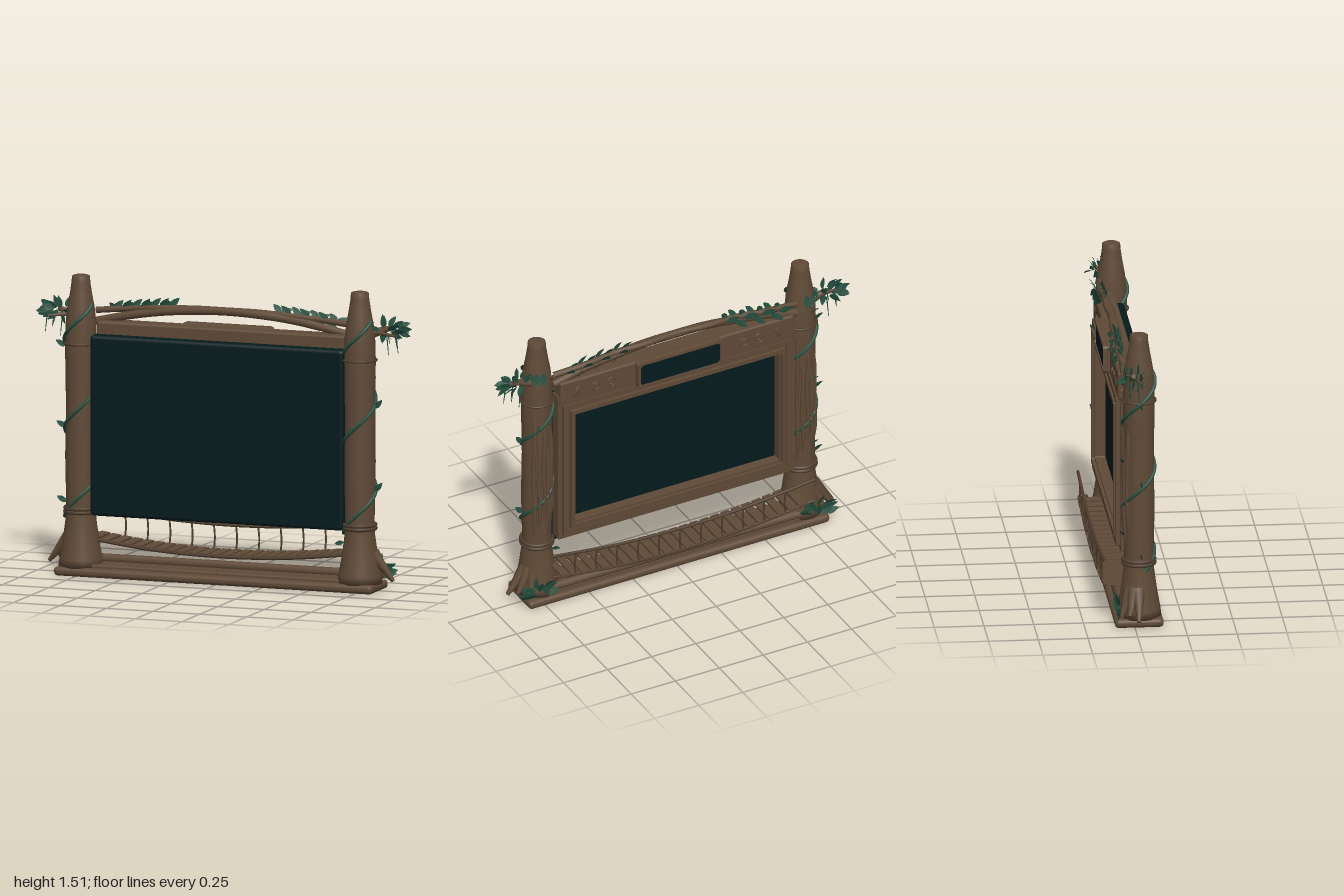
import * as THREE from 'three';
import { RoundedBoxGeometry } from 'three/addons/geometries/RoundedBoxGeometry.js';

const V = (x, y, z) => new THREE.Vector3(x, y, z);
const UP = V(0, 1, 0);
const CX = -0.01; // middle of the gate

export function createModel() {
  const root = new THREE.Group();
  root.name = 'gateScreen';
  const mat = (name, color, side = THREE.FrontSide) => {
    const m = new THREE.MeshStandardMaterial({ color, side });
    m.name = name;
    return m;
  };
  const wood = mat('wood', 0x5f4a37);
  const darkWood = mat('darkWood', 0x503e2f);
  const glass = mat('darkTeal', 0x051b1d);
  const green = mat('leafGreen', 0x24503f, THREE.DoubleSide);

  const add = (name, geo, m, parent = root) => {
    const mesh = new THREE.Mesh(geo, m);
    mesh.name = name;
    parent.add(mesh);
    return mesh;
  };
  const group = (name) => {
    const g = new THREE.Group();
    g.name = name;
    root.add(g);
    return g;
  };
  // Box given by its limits
  const box = (name, x0, x1, y0, y1, z0, z1, r, m, parent) => {
    const b = add(name, new RoundedBoxGeometry(x1 - x0, y1 - y0, z1 - z0, 3, r), m, parent);
    b.position.set((x0 + x1) / 2, (y0 + y1) / 2, (z0 + z1) / 2);
  };
  const tube = (name, pts, r, m, parent, seg = 40) =>
    add(name, new THREE.TubeGeometry(new THREE.CatmullRomCurve3(pts), seg, r, 8), m, parent);
  // Tapered stick from a to b
  const stick = (name, a, b, r0, r1, m, parent) => {
    const d = b.clone().sub(a);
    const s = add(name, new THREE.CylinderGeometry(r1, r0, d.length(), 8), m, parent);
    s.position.copy(a).addScaledVector(d, 0.5);
    s.quaternion.setFromUnitVectors(UP, d.normalize());
  };
  // Pointed leaf of unit length along +y, slightly bent and folded
  const shape = new THREE.Shape();
  shape.moveTo(0, 0);
  shape.bezierCurveTo(0.32, 0.2, 0.3, 0.6, 0, 1);
  shape.bezierCurveTo(-0.3, 0.6, -0.32, 0.2, 0, 0);
  const leafGeo = new THREE.ShapeGeometry(shape, 6);
  const lp = leafGeo.attributes.position;
  for (let i = 0; i < lp.count; i++) lp.setZ(i, Math.abs(lp.getX(i)) * 0.3 - lp.getY(i) ** 2 * 0.1);
  leafGeo.computeVertexNormals();
  const leaf = (p, dir, size, roll, parent) => {
    const l = add('leaf', leafGeo, green, parent);
    l.position.copy(p);
    l.quaternion.setFromUnitVectors(UP, dir.clone().normalize())
      .multiply(new THREE.Quaternion().setFromAxisAngle(UP, roll));
    l.scale.setScalar(size);
  };

  // Base slab and sill
  box('base', -0.863, 0.843, 0, 0.045, -0.1, 0.145, 0.02, wood);
  box('baseStep', -0.79, 0.77, 0.035, 0.06, -0.07, 0.1, 0.008, wood);
  stick('sillLog', V(-0.71, 0.072, -0.05), V(0.69, 0.072, -0.05), 0.024, 0.024, wood);

  // Pillars
  const profile = [[0.113, 0.04], [0.108, 0.08], [0.092, 0.17], [0.077, 0.28], [0.074, 0.36], [0.079, 0.6],
    [0.075, 0.85], [0.078, 1.05], [0.08, 1.17], [0.077, 1.27], [0.069, 1.35], [0.056, 1.42], [0.047, 1.48], [0.045, 1.51]];
  const radiusAt = (y) => {
    let i = 1;
    while (i < profile.length - 1 && profile[i][1] < y) i++;
    const [r0, y0] = profile[i - 1], [r1, y1] = profile[i];
    return r0 + (r1 - r0) * THREE.MathUtils.clamp((y - y0) / (y1 - y0), 0, 1);
  };
  const PZ = 0.028;
  for (const s of [-1, 1]) {
    const px = CX + s * 0.747;
    const g = group(s < 0 ? 'rightPillar' : 'leftPillar');
    const onPillar = (a, y, off = 0) => {
      const r = radiusAt(y) + off;
      return V(px + Math.sin(a) * r, y, PZ + Math.cos(a) * r);
    };
    const pts = [[0, 0.04], ...profile, [0.036, 1.515], [0, 1.515]].map(([r, y]) => new THREE.Vector2(r, y));
    add('trunk', new THREE.LatheGeometry(pts, 32), wood, g).position.set(px, 0, PZ);
    // Rope bands
    for (const y of [0.318, 0.336, 1.17]) {
      const t = add('band', new THREE.TorusGeometry(radiusAt(y) + 0.004, y > 1 ? 0.006 : 0.01, 8, 32), darkWood, g);
      t.rotation.x = Math.PI / 2;
      t.position.set(px, y, PZ);
    }
    // Bark ridges on the back
    for (let i = 0; i < 5; i++) {
      const a = Math.PI + (i - 2) * 0.33, y0 = 0.37 + (i * 2 % 5) * 0.03, y1 = 1.13 - (i * 3 % 5) * 0.05;
      const ridge = [0, 0.2, 0.5, 0.8, 1].map((t, k) =>
        onPillar(a + (k % 2 ? 0.05 : -0.03), y0 + (y1 - y0) * t, t % 1 ? 0.002 : -0.011));
      tube('barkRidge', ridge, 0.011, wood, g, 24);
    }
    // Climbing vine and its leaves
    const vine = [];
    for (let i = 0; i <= 60; i++) {
      const y = 0.29 + i / 60 * 1.08;
      vine.push(onPillar((y - 0.38) / 0.45 * Math.PI * 2, y, 0.004));
    }
    tube('vine', vine, 0.009, green, g, 140);
    const out = s * Math.PI / 2;
    for (const y of s < 0 ? [0.36, 0.74, 1.15] : [0.51, 0.93]) {
      leaf(onPillar(out, y, 0.002), V(s * 0.8, s < 0 ? 0.45 : 0.8, 0.1), 0.06, 0.3, g);
      leaf(onPillar(out + s * 1.3, y + 0.1, 0.004), V(s * 0.4, 0.6, -0.3), 0.055, 0.9, g);
    }
    if (s > 0) leaf(onPillar(-out, 0.24, 0.004), V(-1, -0.2, 0.1), 0.05, 0.3, g);

    // Roots and ground leaves at the outer back
    for (let i = 0; i < 3; i++) {
      const a = s * (1.68 + i * 0.36);
      const end = V(px + Math.sin(a) * (0.175 - i * 0.02), 0.055 + (i % 2) * 0.02, PZ + Math.cos(a) * 0.13);
      stick('root', onPillar(a, 0.19, -0.022), end, 0.034, 0.01, wood, g);
    }
    for (let i = 0; i < 11; i++) {
      const a = (i - 5) * 0.27;
      leaf(V(px + s * 0.045 + Math.sin(a) * 0.04, 0.055 + (i % 3) * 0.025, -0.08),
        V(Math.sin(a) + s * 0.3, 0.25 + Math.cos(a) * 0.4 * (i % 2), -0.08), 0.078, (i % 3 - 1) * 0.5, g);
    }

    // Side branch with leaf cluster and hanging tendrils
    const tip = s * 0.93;
    stick('branch', V(px + s * 0.03, 1.295, 0), V(tip - s * 0.04, 1.335, -0.01), 0.028, 0.012, wood, g);
    stick('twig', V(px + s * 0.08, 1.31, 0), V(tip, 1.3, 0.035), 0.014, 0.005, wood, g);
    stick('twig', V(px + s * 0.08, 1.31, 0), V(tip - s * 0.01, 1.35, -0.045), 0.014, 0.005, wood, g);
    for (let i = 0; i < 16; i++) {
      const t = i / 15, w = i * 2.4;
      const p = V(px + s * (0.1 + t * 0.09), 1.328 + Math.sin(w) * 0.01, -0.015 + Math.cos(w) * 0.035);
      leaf(p, V(s * (t * 1.5 - 0.25), 0.04 + Math.sin(w) * 0.55, Math.cos(w) * 0.15), 0.066, Math.cos(w) * 0.5, g);
    }
    leaf(V(s * 0.925, 1.33, -0.015), V(s, 0.02, 0), 0.073, 0.2, g);
    for (let i = 0; i < 4; i++) {
      const x = px + s * (0.12 + i * 0.022), z = -0.03 + (i % 2) * 0.04;
      stick('tendril', V(x, 1.31, z), V(x + s * 0.012, 1.19 + (i * 3 % 4) * 0.022, z), 0.004, 0.0015, green, g);
    }
    // Drooping leaves under the pillar crown
    for (let i = 0; i < 3; i++)
      leaf(onPillar(Math.PI - s * i * 0.5, 1.36, 0.004), V(0, -1, -0.12), 0.075, Math.PI + i * 0.5, g);
  }

  // Screen body: dark panel on the front, wooden casing behind
  box('frontPanel', CX - 0.679, CX + 0.679, 0.305, 1.222, 0.0, 0.088, 0.02, glass);
  const frameRing = (name, hw, y0, y1, band, z0, z1, m, parent, r = 0.008) => {
    const rect = (P, w, a, b, c) => {
      const p = new P();
      p.moveTo(-w + c, a); p.lineTo(w - c, a); p.quadraticCurveTo(w, a, w, a + c);
      p.lineTo(w, b - c); p.quadraticCurveTo(w, b, w - c, b);
      p.lineTo(-w + c, b); p.quadraticCurveTo(-w, b, -w, b - c);
      p.lineTo(-w, a + c); p.quadraticCurveTo(-w, a, -w + c, a);
      return p;
    };
    const sh = rect(THREE.Shape, hw, y0, y1, r);
    sh.holes.push(rect(THREE.Path, hw - band, y0 + band, y1 - band, r));
    const f = add(name, new THREE.ExtrudeGeometry(sh, { depth: z1 - z0, bevelEnabled: false }), m, parent);
    f.position.set(CX, 0, z0);
  };
  const frame = group('screenFrame');
  frameRing('casing', 0.67, 0.345, 1.2, 0.09, -0.055, 0.02, wood, frame);
  frameRing('outerMoulding', 0.648, 0.37, 1.15, 0.03, -0.078, -0.05, wood, frame);
  frameRing('groove', 0.62, 0.398, 1.122, 0.014, -0.066, -0.05, darkWood, frame);
  frameRing('innerMoulding', 0.61, 0.408, 1.112, 0.022, -0.086, -0.05, wood, frame);
  frameRing('lip', 0.59, 0.428, 1.092, 0.012, -0.07, -0.015, wood, frame);
  add('screen', new THREE.BoxGeometry(1.165, 0.66, 0.008), glass, frame).position.set(CX, 0.76, -0.012);

  // Header beam with name plate
  box('headerBeam', CX - 0.663, CX + 0.663, 1.14, 1.285, -0.07, 0.035, 0.012, wood);
  const plate = group('headerPlate');
  box('plateBack', CX - 0.24, CX + 0.24, 1.145, 1.29, -0.092, -0.05, 0.015, wood, plate);
  frameRing('plateRim', 0.24, 1.145, 1.29, 0.014, -0.104, -0.085, wood, plate, 0.022);
  box('plateFace', CX - 0.23, CX + 0.23, 1.155, 1.28, -0.098, -0.09, 0.003, glass, plate);

  // Carved scrolls and leaves on the header
  const carving = group('headerCarving');
  for (const s of [-1, 1]) {
    for (const e of [-1, 1]) {
      const curl = [];
      for (let i = 0; i <= 16; i++) {
        const a = i / 16 * Math.PI * 2.4, r = 0.009 + 0.021 * i / 16;
        curl.push(V(CX + s * 0.42 + e * (0.04 + Math.cos(a) * r), 1.215 + e * Math.sin(a) * r, -0.071));
      }
      tube('scroll', curl, 0.004, wood, carving, 50);
    }
    const c = add('carvedLeaf', new THREE.SphereGeometry(1, 12, 8), wood, carving);
    c.scale.set(0.015, 0.03, 0.006);
    c.rotation.z = s * 0.4;
    c.position.set(CX + s * 0.57, 1.215, -0.07);
  }

  // Arched branches and their leaves
  const arch = group('arch');
  const bow = (end, top, z, wave) => [-1, -0.75, -0.5, -0.25, 0, 0.25, 0.5, 0.75, 1].map((u, i) =>
    V(CX + u * 0.69, top - (top - end) * u * u, z + (i % 2 ? wave : -wave)));
  tube('archBranch', bow(1.275, 1.362, -0.035, 0.002), 0.021, wood, arch, 60);
  tube('archBranch', bow(1.33, 1.367, -0.045, -0.005), 0.016, wood, arch, 60);
  for (const s of [-1, 1])
    for (let i = 0; i < 7; i++) {
      const u = 0.3 + i * 0.05, y = 1.378 - u * u * 0.11;
      leaf(V(CX + s * u, y, -0.045), V(-s * 0.6, 0.55, i % 2 ? 0.15 : -0.15), 0.068, 0.35, arch);
      leaf(V(CX + s * (u - 0.02), y - 0.01, -0.068), V(s * 0.8, i % 2 ? -0.55 : 0.4, -0.25), 0.075, -0.3, arch);
    }

  // Hanging bridge below the screen
  const bridge = group('bridge');
  const deckY = (u) => 0.128 + 0.05 * u * u, railY = (u) => 0.262 + 0.047 * u * u;
  const line = (f, z, e) => [-e, -0.6, -0.3, 0, 0.3, 0.6, e].map((u) => V(CX + u * 0.685, f(u), z));
  tube('deckRope', line(deckY, -0.132, 1.08), 0.009, darkWood, bridge);
  tube('deckRope', line(deckY, 0.025, 1), 0.009, darkWood, bridge);
  tube('railRope', line(railY, -0.14, 1.08), 0.008, darkWood, bridge);
  for (let i = 0; i < 24; i++) {
    const u = (i - 11.5) / 11.5 * 0.99;
    const p = add('plank', new THREE.BoxGeometry(0.045, 0.012, 0.185), wood, bridge);
    p.position.set(CX + u * 0.685, deckY(u) + 0.008, -0.0525);
    p.rotation.z = Math.atan(0.1 * u / 0.685);
  }
  for (let i = -5; i <= 5; i++) {
    const x = 0.01 + i * 0.119, u = (x - CX) / 0.685;
    tube('railCord', [V(x, deckY(u), -0.14), V(x + 0.005, (deckY(u) + railY(u)) / 2, -0.141), V(x, railY(u), -0.14)],
      0.005, darkWood, bridge, 6);
  }
  return root;
}
